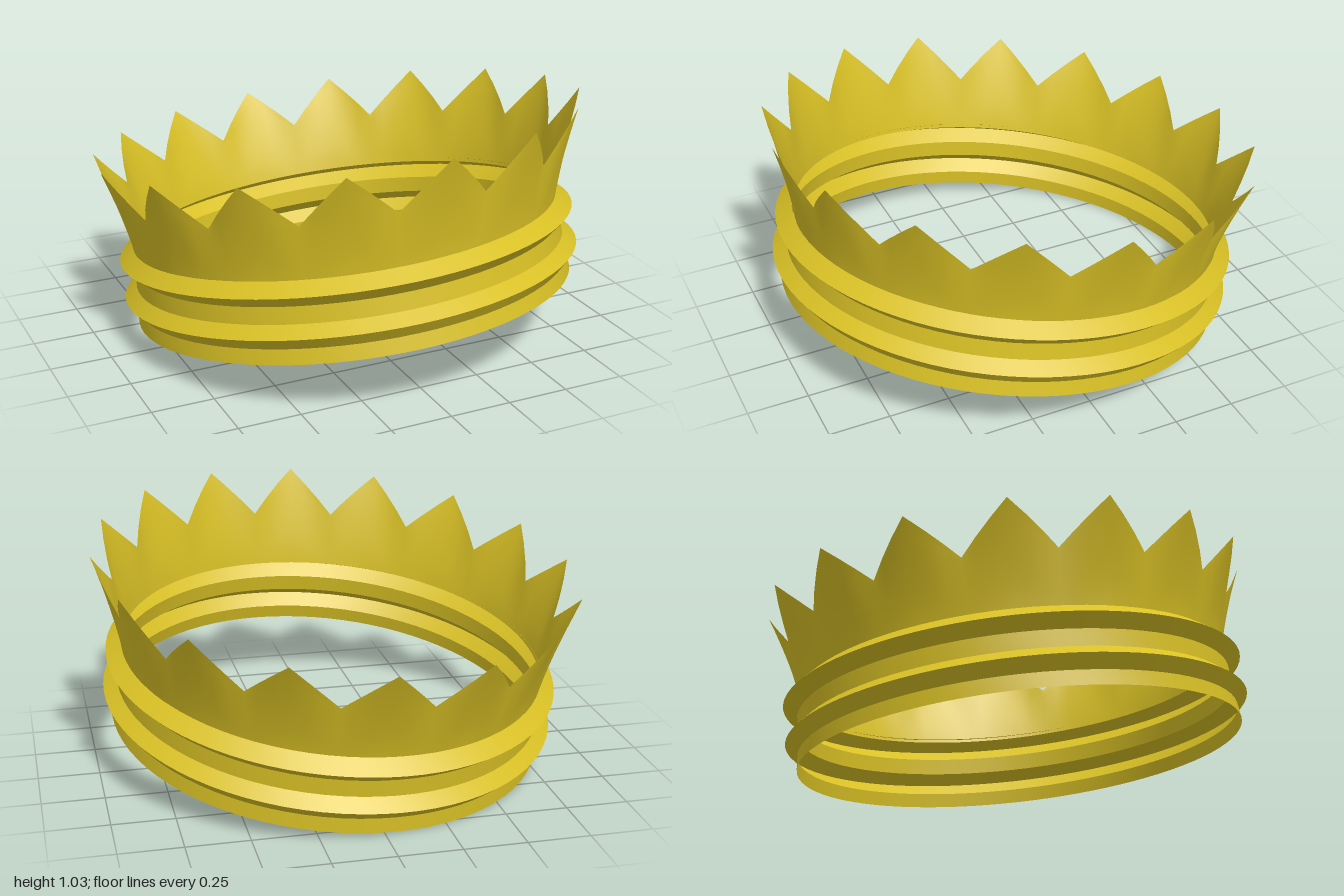
import * as THREE from 'three';
import { toCreasedNormals } from 'three/addons/utils/BufferGeometryUtils.js';

const gold = new THREE.MeshStandardMaterial({ color: 0xd8c025, side: THREE.DoubleSide });
const SPIKES = 16;
const lerp = THREE.MathUtils.lerp;

// Thin ring revolved from [radius, height] points, with crisp ridges
function ring(name, profile) {
  const points = profile.map(([r, y]) => new THREE.Vector2(r, y));
  const mesh = new THREE.Mesh(toCreasedNormals(new THREE.LatheGeometry(points, 80), 0.35), gold);
  mesh.name = name;
  return mesh;
}

// Flared, fluted wall whose top edge zigzags between tips and valleys
function spikedWall() {
  const perSpike = 6, rows = 8, cols = SPIKES * perSpike;
  const baseY = 0.3, baseR = 0.872, tipY = 0.706, tipR = 1.0, valleyY = 0.527, valleyR = 0.914;
  const positions = [], index = [];
  for (let j = 0; j <= rows; j++) {
    for (let i = 0; i < cols; i++) {
      const k = Math.abs(((i % perSpike) / perSpike) * 2 - 1); // 1 at a tip, 0 at a valley
      const v = j / rows;
      const a = (i / cols) * Math.PI * 2;
      const y = lerp(baseY, lerp(valleyY, tipY, k), v);
      const r = lerp(baseR, lerp(valleyR, tipR, k), Math.pow(v, 1 + 0.3 * k));
      const t = (y - baseY) / (tipY - baseY); // slight lean of the upper edge
      positions.push(r * Math.sin(a) + 0.014 * t, y, r * Math.cos(a) + 0.025 * t);
    }
  }
  for (let j = 0; j < rows; j++) {
    for (let i = 0; i < cols; i++) {
      const n = (i + 1) % cols;
      const a = j * cols + i, b = j * cols + n, c = a + cols, d = b + cols;
      index.push(a, b, d, a, d, c);
    }
  }
  const geometry = new THREE.BufferGeometry();
  geometry.setAttribute('position', new THREE.Float32BufferAttribute(positions, 3));
  geometry.setIndex(index);
  geometry.computeVertexNormals();
  const mesh = new THREE.Mesh(geometry, gold);
  mesh.name = 'spikedWall';
  return mesh;
}

export function createModel() {
  const crown = new THREE.Group();
  crown.name = 'crown';

  // Base: lower band, two pointed ridges and the band between them
  const base = new THREE.Group();
  base.name = 'base';
  base.add(
    ring('lowerBand', [[0.9, 0], [0.893, 0.06]]),
    ring('lowerRidge', [[0.893, 0.06], [0.938, 0.11], [0.885, 0.152]]),
    ring('middleBand', [[0.885, 0.152], [0.882, 0.22]]),
    ring('upperRidge', [[0.882, 0.22], [0.935, 0.268], [0.872, 0.315]])
  );
  base.scale.z = 1.01;
  crown.add(base, spikedWall());

  // The whole crown rests tilted on its back edge
  crown.quaternion.setFromUnitVectors(
    new THREE.Vector3(0, 1, 0),
    new THREE.Vector3(-0.072, 0.985, -0.155).normalize()
  );
  crown.position.set(0.035, 0.155, 0.075);

  const model = new THREE.Group();
  model.name = 'tiltedCrown';
  model.add(crown);
  return model;
}
